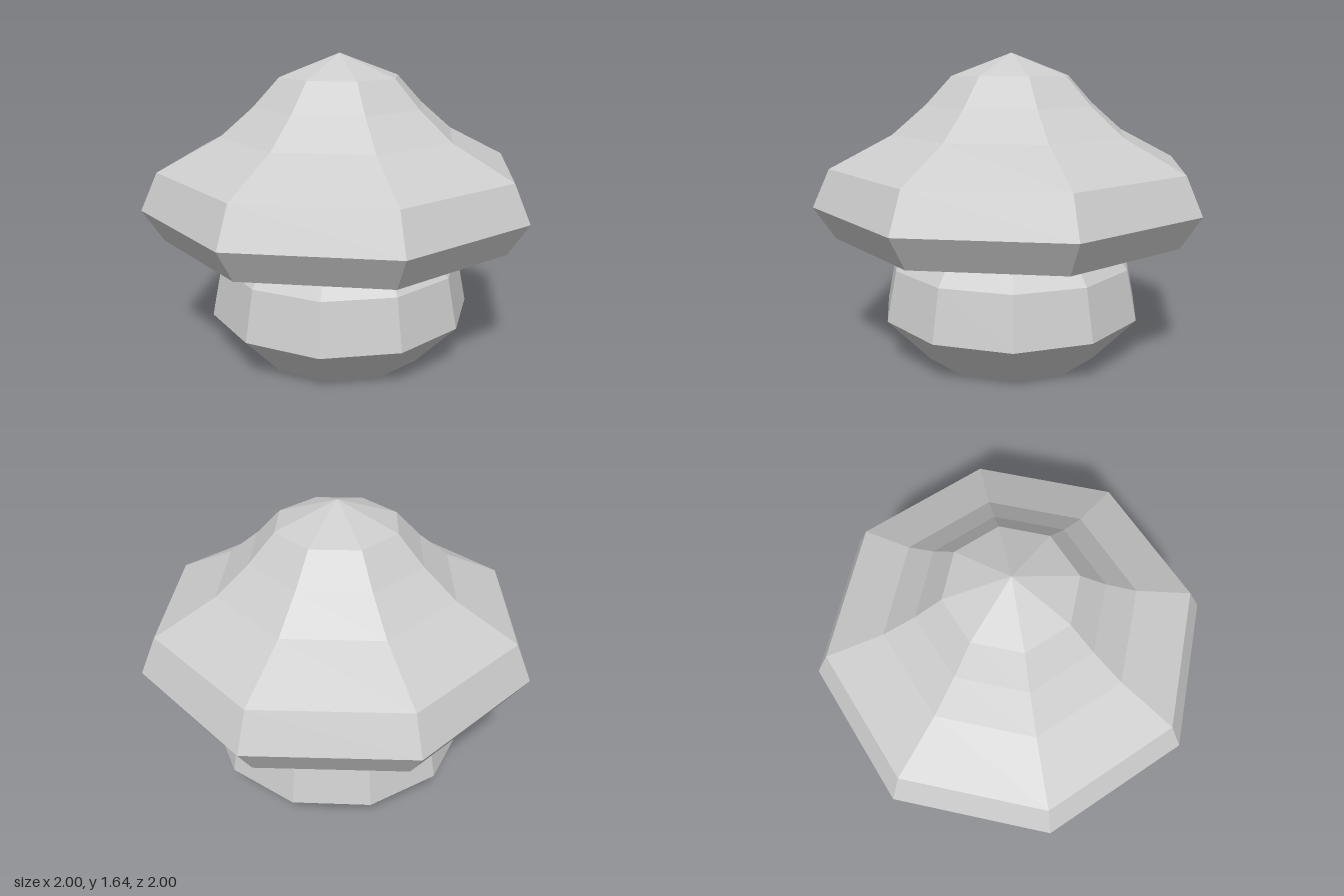
import * as THREE from 'three';

const gray = new THREE.MeshStandardMaterial({ color: 0xcccccc, flatShading: true });
gray.name = 'pale gray';

// Faceted solid of revolution; profile is [radius, height] from bottom to top,
// startAngle is measured from +z towards +x.
function faceted(name, profile, sides, startAngle) {
  const points = profile.map(([r, y]) => new THREE.Vector2(r, y));
  const mesh = new THREE.Mesh(new THREE.LatheGeometry(points, sides, startAngle), gray);
  mesh.name = name;
  return mesh;
}

export function createModel() {
  const group = new THREE.Group();
  group.name = 'mushroom';

  // Squat eleven-sided stem, closed at both ends
  group.add(faceted('stem', [
    [0, 0], [0.49, 0], [0.72, 0.25], [0.665, 0.52], [0.5, 0.72], [0, 0.72],
  ], 11, Math.PI / 11));

  // Wide eight-sided cap with a shallow sloping underside
  group.add(faceted('cap', [
    [0, 0.495], [0.95, 0.69], [1.056, 0.86], [0.967, 1.055],
    [0.643, 1.22], [0.465, 1.37], [0.324, 1.52], [0, 1.64],
  ], 8, THREE.MathUtils.degToRad(18.9)));

  return group;
}
